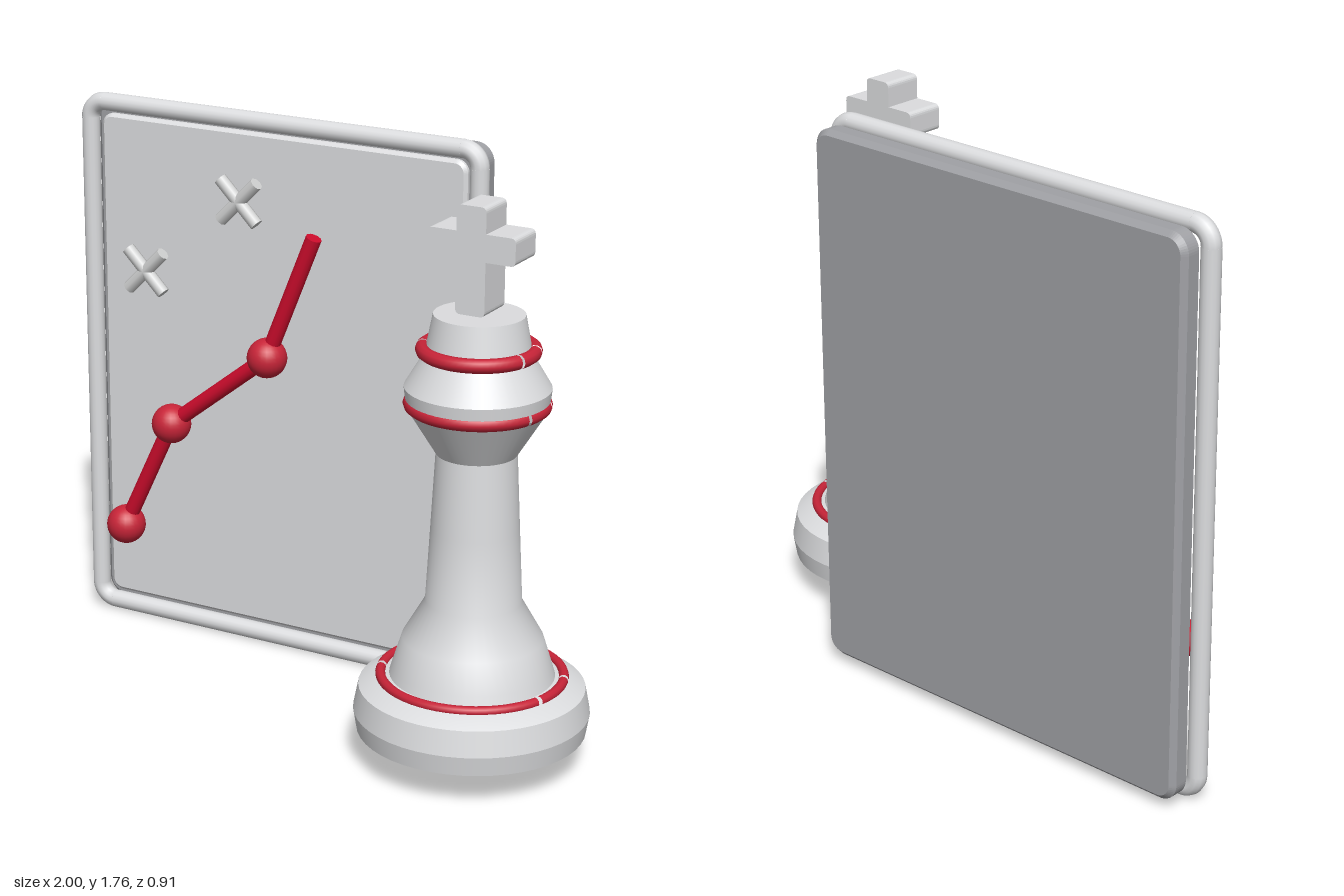
import * as THREE from 'three';

const mat = (name, color) => {
  const m = new THREE.MeshStandardMaterial({ color });
  m.name = name;
  return m;
};

// Rounded rectangle outline centred on (cx, cy)
function roundedRect(cx, cy, w, h, r) {
  const s = new THREE.Shape();
  const x = w / 2 - r, y = h / 2 - r;
  s.absarc(cx + x, cy + y, r, 0, Math.PI / 2);
  s.absarc(cx - x, cy + y, r, Math.PI / 2, Math.PI);
  s.absarc(cx - x, cy - y, r, Math.PI, Math.PI * 1.5);
  s.absarc(cx + x, cy - y, r, Math.PI * 1.5, Math.PI * 2);
  s.closePath();
  return s;
}

// Bevelled slab whose outer size is w x h, between z0 and z1
function slab(cx, cy, w, h, r, z0, z1, bevel) {
  const shape = roundedRect(cx, cy, w - 2 * bevel, h - 2 * bevel, r - bevel);
  const geo = new THREE.ExtrudeGeometry(shape, {
    depth: z1 - z0 - 2 * bevel, bevelEnabled: true, bevelThickness: bevel,
    bevelSize: bevel, bevelSegments: 1, curveSegments: 6,
  });
  return geo.translate(0, 0, z0 + bevel);
}

// Cylinder between two points
function rod(a, b, r, sides) {
  const dir = b.clone().sub(a);
  const geo = new THREE.CylinderGeometry(r, r, dir.length(), sides);
  const q = new THREE.Quaternion().setFromUnitVectors(new THREE.Vector3(0, 1, 0), dir.normalize());
  geo.applyQuaternion(q);
  const mid = a.clone().add(b).multiplyScalar(0.5);
  return geo.translate(mid.x, mid.y, mid.z);
}

export function createModel() {
  const model = new THREE.Group();
  model.name = 'chessBoardDisplay';
  const light = mat('light grey', 0xdcdddf);
  const dark = mat('mid grey', 0xa0a1a5);
  const marks = mat('mark grey', 0xd0d1d1);
  const red = mat('bright red', 0xcc0c2c);
  const softRed = mat('soft red', 0xc82438);

  const add = (parent, name, geo, material) => {
    const mesh = new THREE.Mesh(geo, material);
    mesh.name = name;
    parent.add(mesh);
    return mesh;
  };
  const group = (name) => {
    const g = new THREE.Group();
    g.name = name;
    model.add(g);
    return g;
  };

  // Board: back slab and front panel
  const cx = -0.28, cy = 0.883;
  const board = group('board');
  add(board, 'backSlab', slab(cx, cy, 1.385, 1.705, 0.06, -0.457, -0.383, 0.016), dark);
  add(board, 'frontPanel', slab(cx, cy, 1.3, 1.625, 0.04, -0.372, -0.342, 0.01), light);

  // Round frame: four straight tubes and four quarter-ring corners
  const frame = group('frame');
  const hw = 0.692, hh = 0.85, cr = 0.055, tr = 0.029, fz = -0.347;
  const corners = [[1, 1], [-1, 1], [-1, -1], [1, -1]];
  corners.forEach(([sx, sy], i) => {
    const corner = new THREE.TorusGeometry(cr, tr, 12, 10, Math.PI / 2).rotateZ(i * Math.PI / 2);
    corner.translate(cx + sx * (hw - cr), cy + sy * (hh - cr), fz);
    add(frame, 'frameCorner', corner, light);
  });
  for (const s of [-1, 1]) {
    const v = (x, y) => new THREE.Vector3(cx + x, cy + y, fz);
    add(frame, 'frameUpright', rod(v(s * hw, cr - hh), v(s * hw, hh - cr), tr, 16), light);
    add(frame, 'frameRail', rod(v(cr - hw, s * hh), v(hw - cr, s * hh), tr, 16), light);
  }

  // Red path with ball joints
  const path = group('path');
  const points = [[-0.76, 0.385], [-0.58, 0.76], [-0.226, 1.035], [-0.06, 1.44]]
    .map(([x, y]) => new THREE.Vector3(x, y, -0.183));
  points.forEach((p, i) => {
    if (i === 3) return;
    add(path, 'pathRod', rod(p, points[i + 1], 0.025, 12), red);
    add(path, 'pathBall', new THREE.SphereGeometry(0.063, 24, 16).translate(p.x, p.y, p.z), softRed);
  });

  // Two crossed marks
  for (const [x, y] of [[-0.31, 1.526], [-0.65, 1.26]]) {
    const mark = group('crossMark');
    for (const s of [-1, 1]) {
      add(mark, 'markBar', rod(
        new THREE.Vector3(x - s * 0.064, y - 0.064, -0.158),
        new THREE.Vector3(x + s * 0.064, y + 0.064, -0.158), 0.021, 8), marks);
    }
  }

  // Chess king, turned in separate sections to keep the edges sharp
  const king = group('king');
  king.position.set(0.645, 0, 0.105);
  const turn = (name, pts) => add(king, name,
    new THREE.LatheGeometry(pts.map(([r, y]) => new THREE.Vector2(r, y)), 48), light);
  turn('baseUnderside', [[0, 0.11], [0.34, 0.11]]);
  turn('baseFoot', [[0.34, 0.11], [0.35, 0.17]]);
  turn('baseSide', [[0.35, 0.17], [0.335, 0.247]]);
  turn('baseTop', [[0.335, 0.247], [0.275, 0.28], [0.22, 0.285]]);
  turn('body', [[0.245, 0.28], [0.236, 0.31], [0.208, 0.4], [0.142, 0.515],
    [0.13, 0.74], [0.118, 0.97]]);
  turn('collarFlare', [[0.118, 0.97], [0.205, 1.11]]);
  turn('collarBand', [[0.205, 1.11], [0.212, 1.17]]);
  turn('collarTop', [[0.212, 1.17], [0.155, 1.265]]);
  turn('crown', [[0.155, 1.265], [0.132, 1.385]]);
  turn('crownTop', [[0.132, 1.385], [0, 1.385]]);

  // Red rings, each broken into two long and two short arcs
  const ring = (name, r, tube, y) => {
    const gap = 0.33, slit = 0.025;
    for (const side of [0, Math.PI]) {
      for (const [from, to] of [[-gap + slit, gap - slit], [gap + slit, Math.PI - gap - slit]]) {
        const geo = new THREE.TorusGeometry(r, tube, 10, 24, to - from);
        geo.rotateZ(from + side).rotateX(Math.PI / 2).translate(0, y, 0);
        add(king, name, geo, softRed);
      }
    }
  };
  ring('baseRing', 0.27, 0.015, 0.28);
  ring('collarRing', 0.193, 0.021, 1.12);
  ring('crownRing', 0.16, 0.021, 1.28);

  // Cross on top of the king, with softened outer corners
  const a = 0.046, b = 0.138, lo = 1.395, y0 = 1.555, y1 = 1.636, hi = 1.712, c = 0.016;
  const cross = new THREE.Shape();
  cross.moveTo(-a + c, lo);
  const round = [[a, lo, 0, 1], [a, y0], [b, y0, 0, 1], [b, y1, -1, 0], [a, y1], [a, hi, -1, 0],
    [-a, hi, 0, -1], [-a, y1], [-b, y1, 0, -1], [-b, y0, 1, 0], [-a, y0], [-a, lo, 1, 0]];
  for (const [x, y, dx, dy] of round) {
    if (dx === undefined) { cross.lineTo(x, y); continue; }
    // Arrive at the corner along the previous edge and leave along (dx, dy)
    const inX = dy, inY = -dx;
    cross.lineTo(x - inX * c, y - inY * c);
    cross.quadraticCurveTo(x, y, x + dx * c, y + dy * c);
  }
  add(king, 'topCross', new THREE.ExtrudeGeometry(cross,
    { depth: 0.126, bevelEnabled: false, curveSegments: 5 }).translate(0, 0, -0.063), light);

  return model;
}
